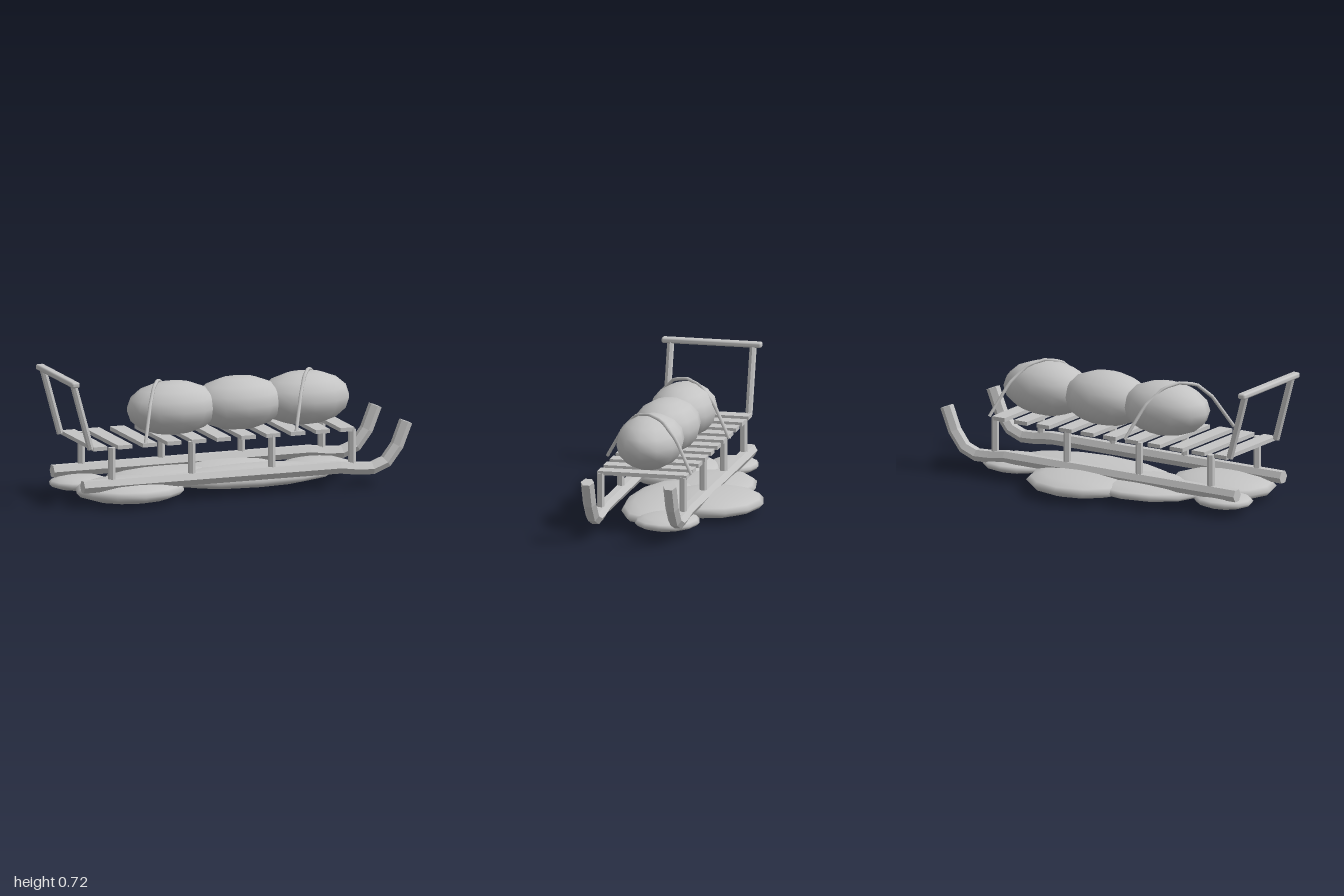
import * as THREE from 'three';
import { RoundedBoxGeometry } from 'three/addons/geometries/RoundedBoxGeometry.js';

const MID_Z = 0.084; // centre line of the sled
const HALF = 0.231; // runner offset from the centre line

export function createModel() {
  const model = new THREE.Group();
  const grey = new THREE.MeshStandardMaterial({ color: 0xc4c4c4 });
  grey.name = 'plain grey';
  const greyFlat = grey.clone();
  greyFlat.flatShading = true;

  const add = (name, geometry, material, x = 0, y = 0, z = 0) => {
    const mesh = new THREE.Mesh(geometry, material);
    mesh.name = name;
    mesh.position.set(x, y, z);
    model.add(mesh);
    return mesh;
  };

  // straight rod between two points
  const rod = (name, a, b, radius, sides) => {
    const from = new THREE.Vector3(...a), to = new THREE.Vector3(...b);
    const dir = to.clone().sub(from);
    const mesh = add(name, new THREE.CylinderGeometry(radius, radius, dir.length(), sides), greyFlat);
    mesh.position.copy(from).add(to).multiplyScalar(0.5);
    mesh.quaternion.setFromUnitVectors(new THREE.Vector3(0, 1, 0), dir.normalize());
    return mesh;
  };

  // six-sided bar swept along a profile in the xy plane, with end caps
  const runnerGeometry = () => {
    const path = [[-0.92, 0.122], [0.58, 0.122], [0.68, 0.108], [0.77, 0.104],
      [0.85, 0.135], [0.915, 0.22], [0.967, 0.35]];
    const pos = [], index = [], n = 6, r = 0.0375;
    path.forEach(([x, y], i) => {
      const p = path[Math.max(i - 1, 0)], q = path[Math.min(i + 1, path.length - 1)];
      const t = Math.atan2(q[1] - p[1], q[0] - p[0]);
      for (let k = 0; k < n; k++) {
        const a = (k / n) * Math.PI * 2, h = r * Math.sin(a);
        pos.push(x - h * Math.sin(t), y + h * Math.cos(t), r * Math.cos(a));
      }
    });
    for (let i = 0; i < path.length - 1; i++) {
      for (let k = 0; k < n; k++) {
        const a = i * n + k, b = i * n + (k + 1) % n;
        index.push(a, b, a + n, b, b + n, a + n);
      }
    }
    const last = (path.length - 1) * n;
    for (let k = 1; k < n - 1; k++) {
      index.push(0, k + 1, k, last, last + k, last + k + 1);
    }
    // turn the winding so that every face looks outward
    for (let i = 0; i < index.length; i += 3) {
      [index[i + 1], index[i + 2]] = [index[i + 2], index[i + 1]];
    }
    const g = new THREE.BufferGeometry();
    g.setAttribute('position', new THREE.Float32BufferAttribute(pos, 3));
    g.setIndex(index);
    g.computeVertexNormals();
    return g;
  };

  // runners, posts and handle uprights on both sides
  const runner = runnerGeometry();
  for (const side of [-1, 1]) {
    const z = MID_Z + side * HALF;
    add('runner', runner, greyFlat, 0, 0, z).material.side = THREE.DoubleSide;
    for (const x of [-0.75, -0.283, 0.185, 0.653]) {
      rod('post', [x, 0.12, z], [x, 0.33, z], 0.021, 6);
    }
    rod('handleUpright', [-0.873, 0.33, z], [-0.975, 0.7, z], 0.02, 8);
  }
  add('handleBar', new RoundedBoxGeometry(0.048, 0.032, 0.56, 2, 0.012), grey, -0.976, 0.7, MID_Z);

  // deck slats
  const slat = new THREE.BoxGeometry(0.083, 0.022, 0.5);
  for (let i = 0; i < 11; i++) add('slat', slat, greyFlat, -0.823 + i * 0.1443, 0.331, MID_Z);

  // cargo bundles
  for (const x of [-0.307, 0.077, 0.461]) {
    const bundle = new THREE.SphereGeometry(1, 12, 8).scale(0.265, 0.149, 0.183);
    add('cargoBundle', bundle, grey, x, 0.475, MID_Z);
  }

  // straps laid slantwise over the outer bundles
  const strapProfile = [[0.36, 0.347], [0.25, 0.53], [0.17, 0.61], [0.085, 0.63],
    [0, 0.61], [-0.095, 0.52], [-0.195, 0.347]];
  for (const x0 of [-0.57, 0.31]) {
    const path = new THREE.CurvePath();
    const points = strapProfile.map(([z, y]) => new THREE.Vector3(x0 + (0.36 - z) * 0.63, y, z));
    for (let i = 1; i < points.length; i++) path.add(new THREE.LineCurve3(points[i - 1], points[i]));
    add('strap', new THREE.TubeGeometry(path, 24, 0.01, 6), grey);
  }

  // flattened mounds under the runners: x, z, then radii x, y, z
  const mounds = [
    [0.07, -0.165, 0.32, 0.063, 0.29],
    [-0.6, 0.2, 0.31, 0.065, 0.255],
    [-0.27, -0.07, 0.36, 0.05, 0.26],
    [0.15, 0.08, 0.5, 0.056, 0.21],
    [0.58, -0.04, 0.2, 0.042, 0.18],
    [-0.79, -0.08, 0.17, 0.04, 0.14],
  ];
  for (const [x, z, rx, ry, rz] of mounds) {
    add('mound', new THREE.SphereGeometry(1, 12, 8).scale(rx, ry, rz), grey, x, 0.065, z);
  }
  return model;
}
